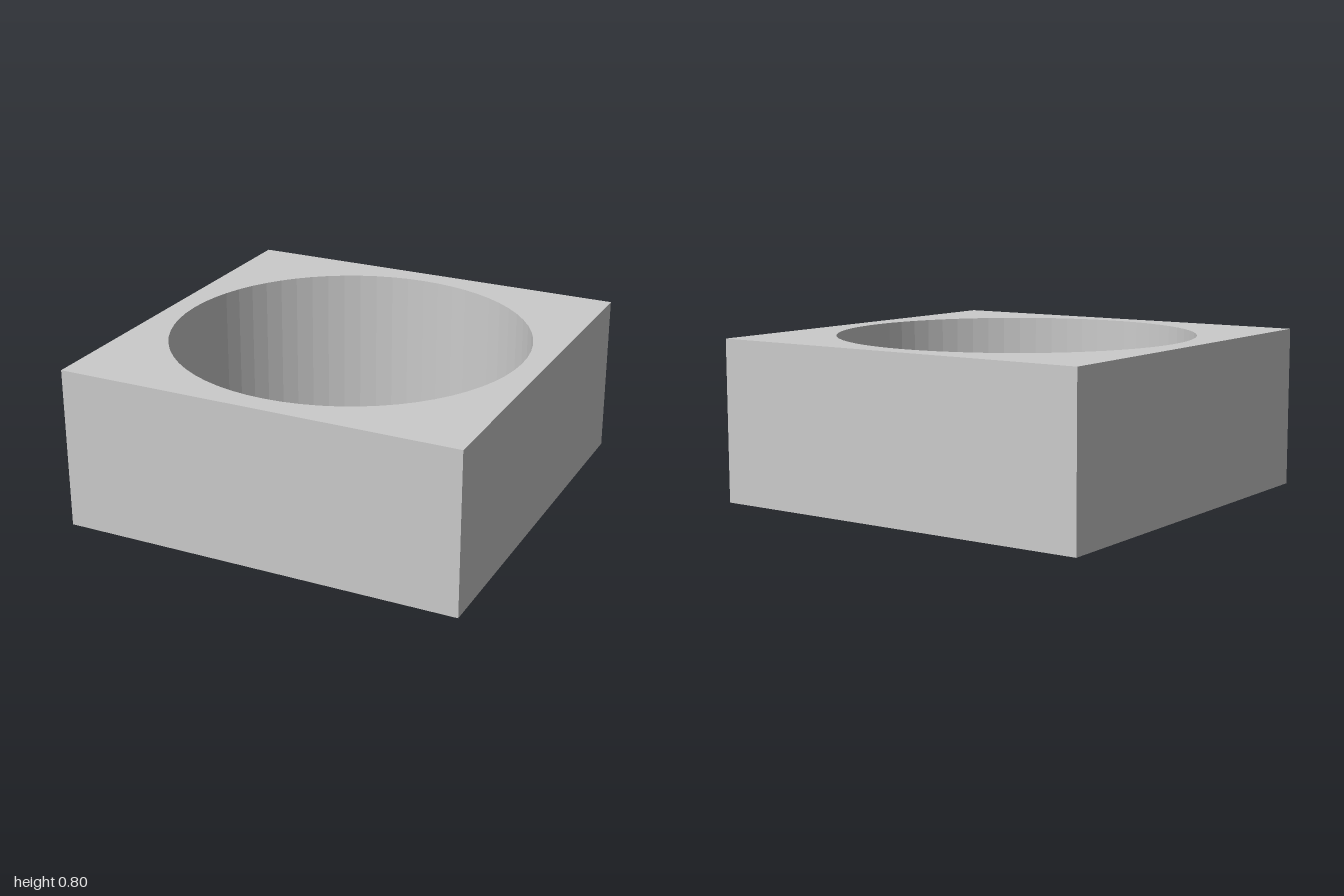
import * as THREE from 'three';

const SIZE = 2, HEIGHT = 0.8, HOLE_RADIUS = 0.885;

export function createModel() {
  const group = new THREE.Group();
  group.name = 'squareRing';

  // Square outline with a round through hole
  const h = SIZE / 2;
  const outline = new THREE.Shape();
  outline.moveTo(-h, -h);
  outline.lineTo(h, -h);
  outline.lineTo(h, h);
  outline.lineTo(-h, h);
  outline.closePath();
  const hole = new THREE.Path();
  hole.absarc(0, 0, HOLE_RADIUS, 0, Math.PI * 2, true);
  outline.holes.push(hole);

  // Extruded upwards; the bore has 64 flat facets
  const geometry = new THREE.ExtrudeGeometry(outline, {
    depth: HEIGHT, bevelEnabled: false, curveSegments: 32,
  });
  geometry.rotateX(-Math.PI / 2);

  const block = new THREE.Mesh(
    geometry,
    new THREE.MeshStandardMaterial({ color: 0xcccccc, flatShading: true }),
  );
  block.name = 'boredBlock';
  group.add(block);
  return group;
}
